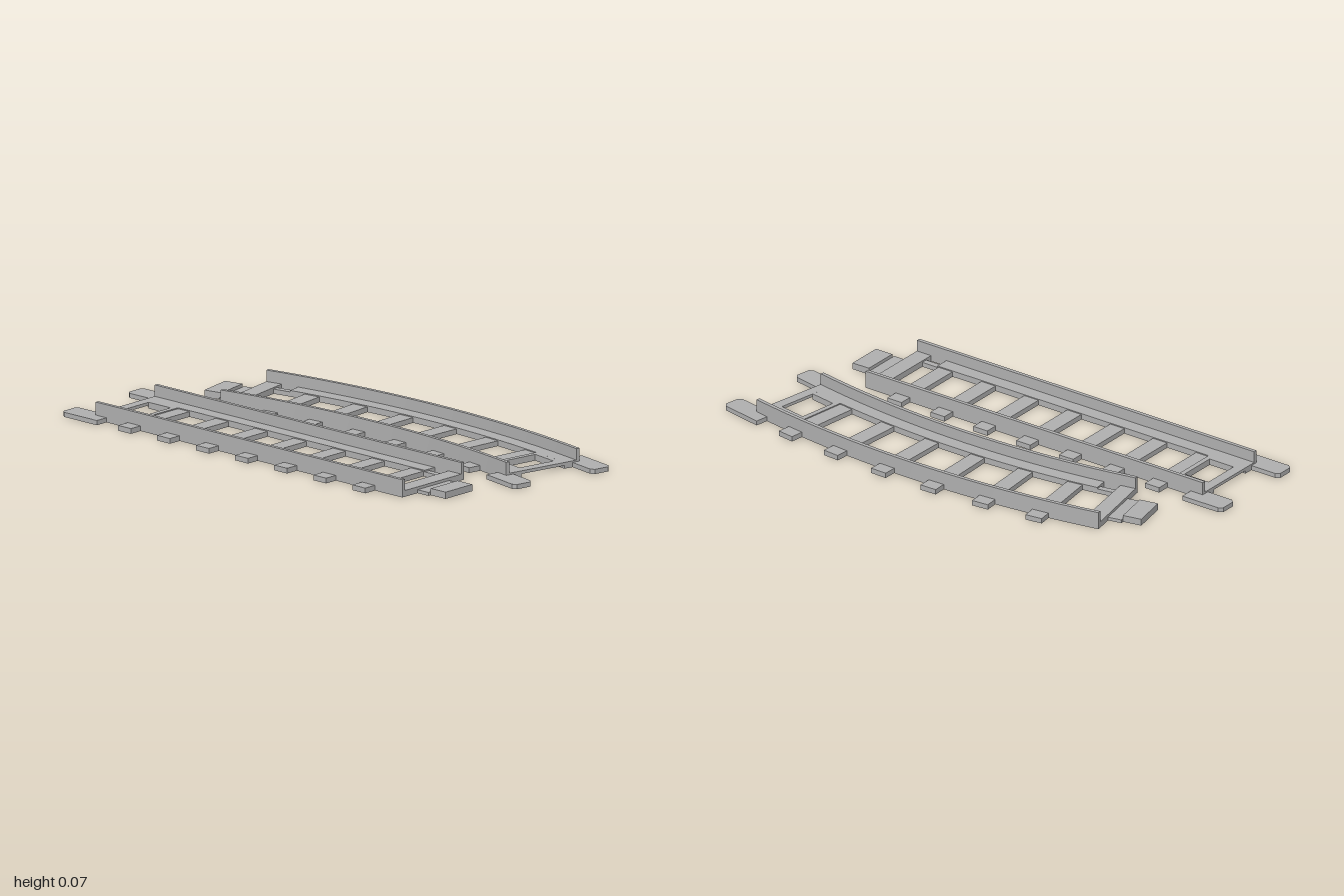
import * as THREE from 'three';

const grey = new THREE.MeshStandardMaterial({ color: 0xb0b0b0 });
grey.name = 'trackGrey';

const RAIL = 0.1675;   // half gauge to the outer rail face
const WALL = 0.015;    // rail thickness
const FLANGE = 0.0975; // inner edge of the rail flange
const TIE = 0.22;      // half length of a tie

// One track section along x, socket at -x and tongue at +x; radius 0 is straight.
function makeTrack(name, half, radius, tieCount, firstTie, tieStep) {
  const track = new THREE.Group();
  track.name = name;

  // Bends a part around the curve; parts past the ends continue straight.
  function add(part, geo) {
    if (radius) {
      const p = geo.attributes.position;
      for (let i = 0; i < p.count; i++) {
        const s = p.getX(i), r = radius + p.getZ(i);
        const inside = THREE.MathUtils.clamp(s, -half, half);
        const a = inside / radius, extra = s - inside;
        p.setX(i, r * Math.sin(a) + extra * Math.cos(a));
        p.setZ(i, r * Math.cos(a) - radius - extra * Math.sin(a));
      }
      geo.computeVertexNormals();
    }
    const mesh = new THREE.Mesh(geo, grey);
    mesh.name = part;
    track.add(mesh);
  }

  function slab(part, x0, x1, z0, z1, y0, y1, segments = 1) {
    const geo = new THREE.BoxGeometry(x1 - x0, y1 - y0, Math.abs(z1 - z0), segments, 1, 1);
    geo.translate((x0 + x1) / 2, (y0 + y1) / 2, (z0 + z1) / 2);
    add(part, geo);
  }

  function prism(part, points, height) {
    const shape = new THREE.Shape(points.map(([x, z]) => new THREE.Vector2(x, z)));
    const geo = new THREE.ExtrudeGeometry(shape, { depth: height, bevelEnabled: false });
    geo.rotateX(Math.PI / 2);
    geo.translate(0, height, 0);
    add(part, geo);
  }

  const segments = radius ? 20 : 1;
  for (const m of [-1, 1]) {
    const side = m > 0 ? 'Right' : 'Left';
    // L-shaped rail, with a notch in the flange near the tongue
    slab('rail' + side, -half, half, m * (RAIL - WALL), m * RAIL, 0, 0.068, segments);
    slab('flange' + side, -half, half - 0.135, m * FLANGE, m * (RAIL - WALL), 0, 0.024, segments);
    slab('notchStrip' + side, half - 0.135, half - 0.065, m * FLANGE, m * 0.122, 0, 0.018);
    // Side of the socket plate
    slab('socketSide' + side, -half + 0.04, -half + 0.15, m * 0.0775, m * FLANGE, 0, 0.024);
    // Chamfered foot reaching past the socket end
    const e = -half;
    prism('foot' + side, [
      [e - 0.11, m * 0.135], [e, m * 0.135], [e, m * RAIL], [e + 0.055, m * RAIL],
      [e + 0.055, m * TIE], [e - 0.11, m * TIE], [e - 0.125, m * (TIE - 0.012)], [e - 0.125, m * 0.147],
    ], 0.018);
  }

  // Cross ties
  for (let i = 0; i < tieCount; i++) {
    const s = firstTie + i * tieStep;
    slab('tie', s - 0.0325, s + 0.0325, -TIE, TIE, 0, 0.02);
  }

  // Socket plate bars around the square opening
  slab('socketEndBar', -half, -half + 0.04, -FLANGE, FLANGE, 0.012, 0.024);
  slab('socketInnerBar', -half + 0.15, -half + 0.17, -FLANGE, FLANGE, 0, 0.024);

  // Tongue end
  slab('tongueEndBar', half - 0.065, half, -RAIL + WALL, RAIL - WALL, 0, 0.024);
  slab('tongueNeck', half, half + 0.055, -0.086, 0.086, 0, 0.013);
  slab('tongueBlock', half + 0.055, half + 0.13, -0.073, 0.073, 0, 0.026);
  return track;
}

export function createModel() {
  const model = new THREE.Group();
  model.name = 'trackSet';

  const straight = makeTrack('straightTrack', 0.7775, 0, 7, -0.5825, 0.198);
  straight.position.set(-0.0975, 0, 0.2525);

  const curved = makeTrack('curvedTrack', 0.761, 3.875, 6, -0.561, 0.218);
  curved.rotation.y = Math.PI;
  curved.position.set(0.075, 0, -0.255);

  model.add(straight, curved);
  return model;
}
